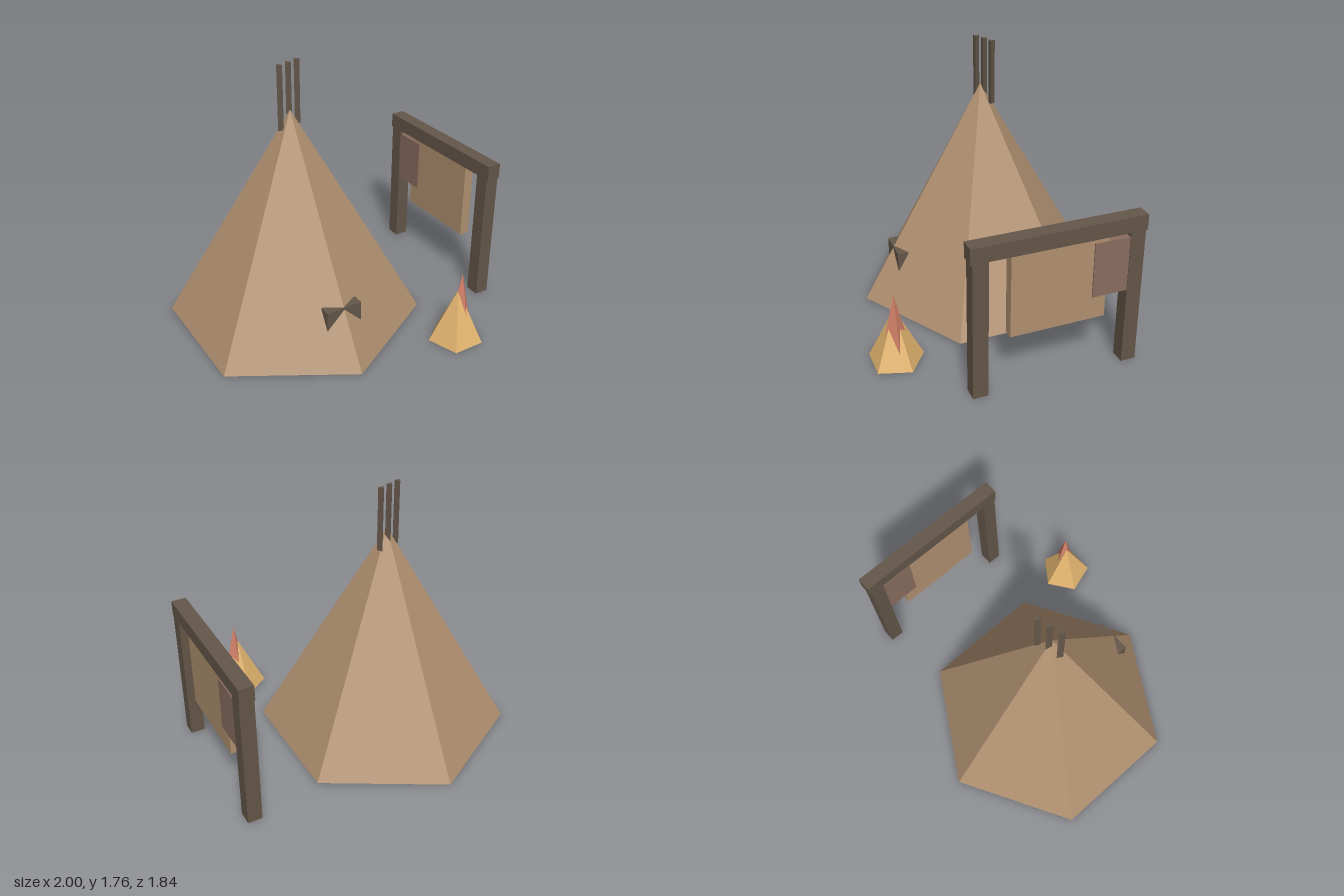
import * as THREE from 'three';

export function createModel() {
  const model = new THREE.Group();

  const material = (name, color) => {
    const m = new THREE.MeshStandardMaterial({ color, flatShading: true });
    m.name = name;
    return m;
  };
  const canvas = material('tan hide', 0xb09070);
  const wood = material('dark wood', 0x645649);
  const cloth = material('dusty brown cloth', 0x896c5e);
  const ember = material('golden fire', 0xe0b26e);
  const flameRed = material('coral flame', 0xd08068);

  const add = (name, geometry, mat, x, y, z, turn = 0) => {
    const mesh = new THREE.Mesh(geometry, mat);
    mesh.name = name;
    mesh.position.set(x, y, z);
    mesh.rotation.y = turn;
    model.add(mesh);
    return mesh;
  };
  // Box given by its lowest and highest corners
  const addBox = (name, mat, [x0, y0, z0], [x1, y1, z1]) =>
    add(name, new THREE.BoxGeometry(x1 - x0, y1 - y0, z1 - z0), mat,
      (x0 + x1) / 2, (y0 + y1) / 2, (z0 + z1) / 2);
  // Closed pyramid standing on the ground
  const addPyramid = (name, mat, radius, height, sides, x, z, turn = 0) =>
    add(name, new THREE.ConeGeometry(radius, height, sides), mat, x, height / 2, z, turn);

  // Tent with its door block cutting through the front ridge
  const tentX = -0.265, tentZ = -0.075;
  addPyramid('tent', canvas, 0.85, 1.46, 6, tentX, tentZ);
  addBox('tentDoor', wood, [tentX - 0.122, 0.002, 0.495], [tentX + 0.122, 0.37, 0.567]);

  // Three-sided poles at the peak
  for (let i = -1; i <= 1; i++) {
    add('tentPole', new THREE.CylinderGeometry(0.023, 0.023, 0.42, 3), wood,
      tentX + i * 0.073, 1.55, -0.099 - i * 0.025, Math.PI);
  }

  // Drying rack
  const rackZ = -0.072;
  for (const side of [-1, 1]) {
    const z = rackZ + side * 0.488;
    addBox('rackPost', wood, [0.905, 0, z - 0.048], [1, 0.9, z + 0.048]);
  }
  addBox('rackBeam', wood, [0.904, 0.9, rackZ - 0.548], [1, 1, rackZ + 0.548]);
  addBox('hangingHide', canvas, [0.92, 0.365, -0.375], [0.988, 0.9, 0.23]);
  addBox('hangingCloth', cloth, [0.912, 0.515, -0.52], [0.996, 0.872, -0.285]);

  // Campfire: golden pyramid with a taller flame rising out of it
  addPyramid('fire', ember, 0.18, 0.365, 5, 0.465, 0.772, Math.PI);
  addPyramid('flame', flameRed, 0.11, 0.48, 4, 0.488, 0.775);

  return model;
}
